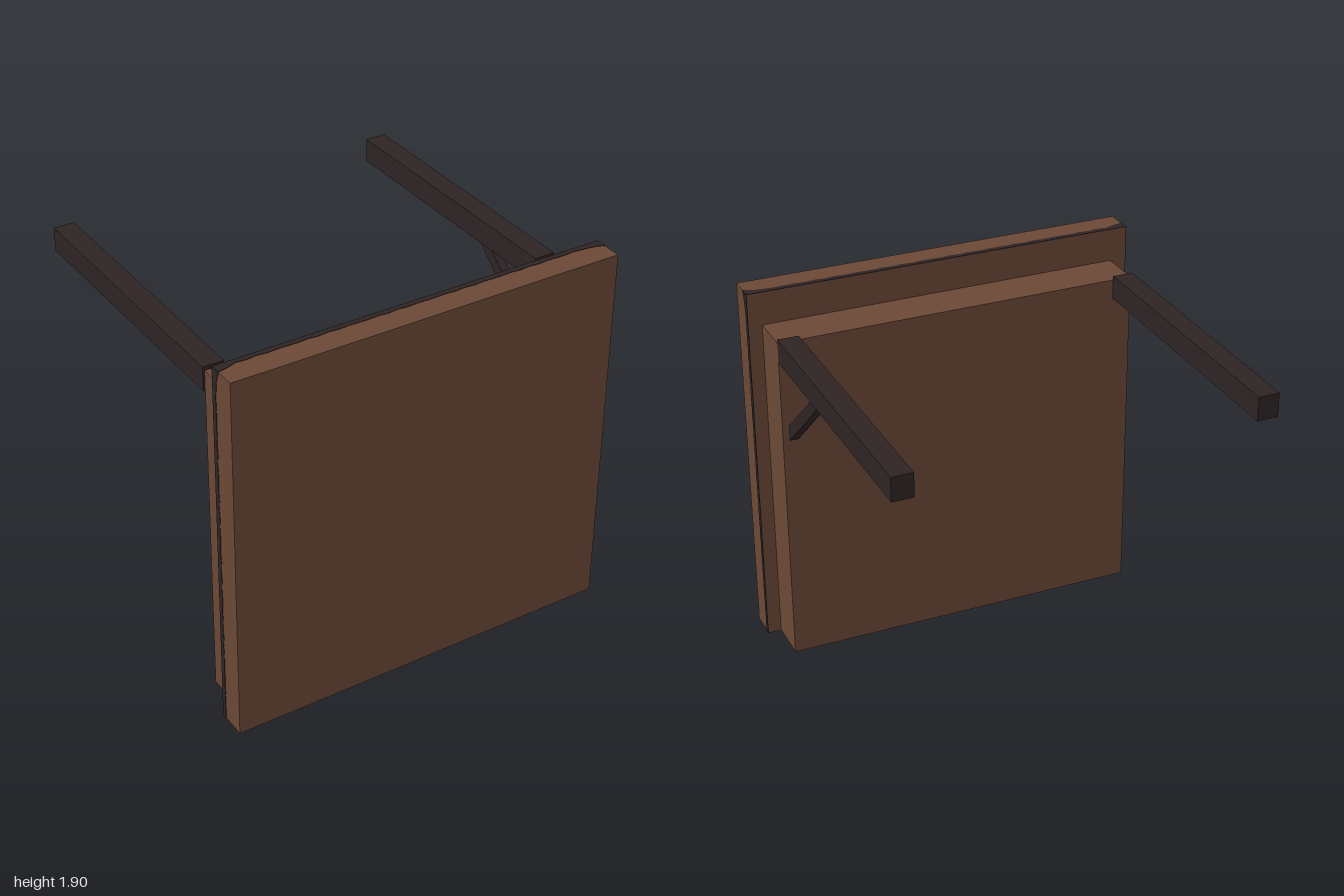
import * as THREE from 'three';

const brown = new THREE.MeshStandardMaterial({ name: 'brown wood', color: 0x6b4836 });
const dark = new THREE.MeshStandardMaterial({ name: 'dark timber', color: 0x2e2424 });

// Box given by its lower and upper limits
function box(name, material, [x0, y0, z0], [x1, y1, z1]) {
  const mesh = new THREE.Mesh(new THREE.BoxGeometry(x1 - x0, y1 - y0, z1 - z0), material);
  mesh.name = name;
  mesh.position.set((x0 + x1) / 2, (y0 + y1) / 2, (z0 + z1) / 2);
  return mesh;
}

// Thin strip with a ragged front edge that widens at chosen ends
function raggedStrip(name, length, wideStart, wideEnd) {
  const shape = new THREE.Shape();
  shape.moveTo(0, 0);
  shape.lineTo(length, 0);
  const steps = 40;
  for (let i = steps; i >= 0; i--) {
    const s = (i / steps) * length;
    const start = wideStart ? Math.max(0, 1 - s / 0.1) : 0;
    const end = wideEnd ? Math.max(0, 1 - (length - s) / 0.1) : 0;
    shape.lineTo(s, 0.028 + 0.003 * Math.sin(i * 2.7) + 0.025 * Math.max(start, end));
  }
  const mesh = new THREE.Mesh(new THREE.ExtrudeGeometry(shape, { depth: 0.003, bevelEnabled: false }), dark);
  mesh.name = name;
  return mesh;
}

export function createModel() {
  const model = new THREE.Group();
  model.name = 'panelWithBeams';

  // Front slab and the narrower block behind it
  model.add(box('frontPanel', brown, [-0.998, 0, 0.75], [0.998, 1.898, 0.9]));
  model.add(box('backBlock', brown, [-0.915, 0, 0.53], [0.93, 1.73, 0.75]));

  // Dark rim along the slab's rear edge: local x runs along the edge, local y towards the front
  const top = raggedStrip('topRim', 1.996, true, true);
  top.rotation.x = Math.PI / 2;
  top.position.set(-0.998, 1.9, 0.75);
  model.add(top);
  for (const side of [-1, 1]) {
    const rim = raggedStrip(side > 0 ? 'leftRim' : 'rightRim', 1.898, false, true);
    rim.matrixAutoUpdate = true;
    rim.quaternion.setFromRotationMatrix(new THREE.Matrix4().makeBasis(
      new THREE.Vector3(0, 1, 0), new THREE.Vector3(0, 0, 1), new THREE.Vector3(1, 0, 0)));
    rim.position.set(side > 0 ? 0.997 : -1, 0, 0.75);
    model.add(rim);
  }

  // Horizontal beams reaching backwards
  model.add(box('leftBeam', dark, [0.825, 1.63, -0.9], [0.93, 1.75, 0.53]));
  model.add(box('rightBeam', dark, [-0.925, 1.63, -0.9], [-0.82, 1.75, 0.53]));

  // Diagonal brace under the left beam, profile drawn as (-z, y)
  const profile = new THREE.Shape([[-0.54, 1.2], [-0.04, 1.635], [-0.13, 1.635], [-0.54, 1.28]]
    .map(([a, b]) => new THREE.Vector2(a, b)));
  const brace = new THREE.Mesh(new THREE.ExtrudeGeometry(profile, { depth: 0.045, bevelEnabled: false }), dark);
  brace.name = 'brace';
  brace.rotation.y = Math.PI / 2;
  brace.position.x = 0.85;
  model.add(brace);

  return model;
}
